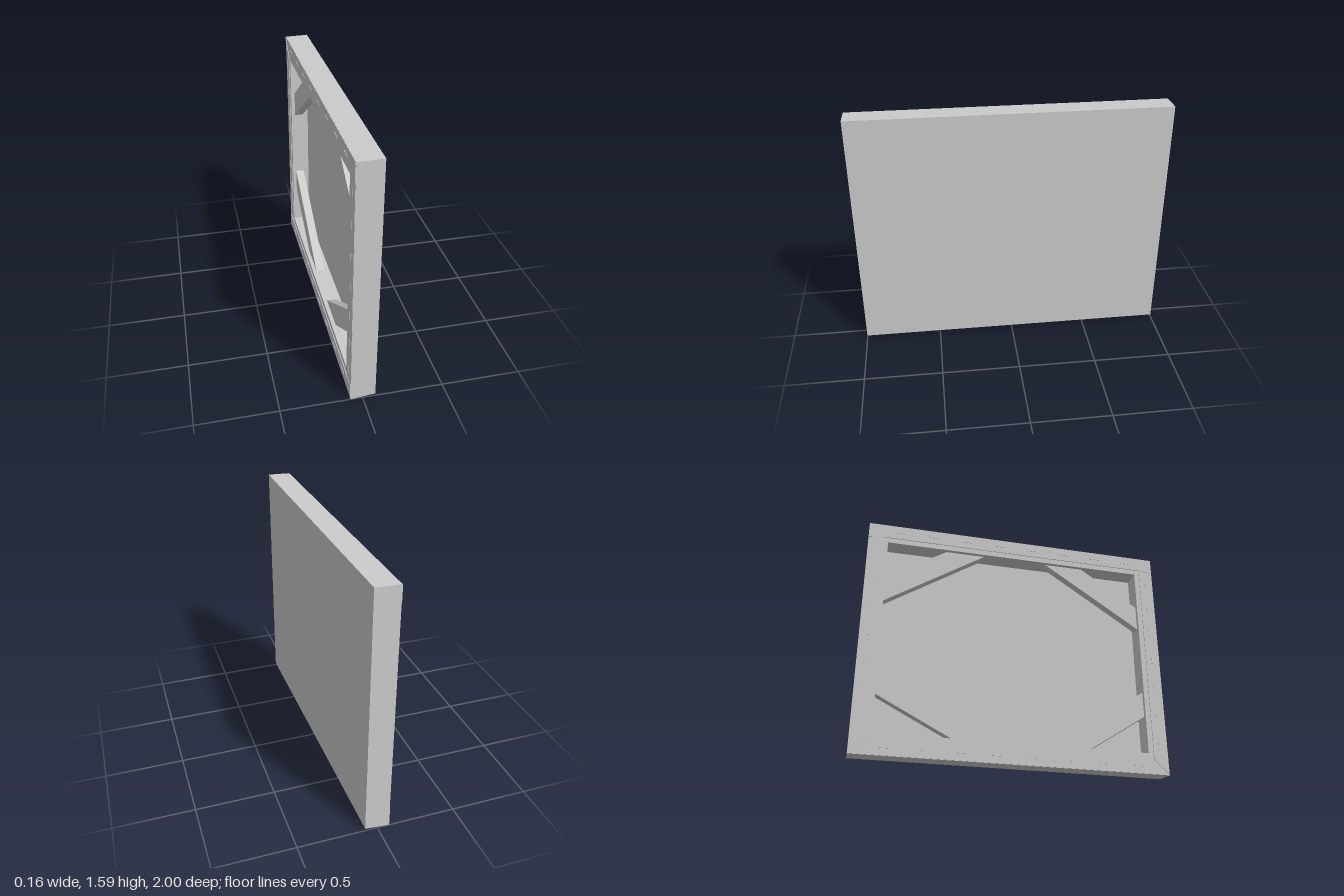
import * as THREE from 'three';

const mat = new THREE.MeshStandardMaterial({ color: 0xcccccc, side: THREE.DoubleSide, flatShading: true });

const TOP = 1.59, BOT = 0.012, HALF = 1, FRONT = 0.078;

function extrude(points, depth) {
  const shape = new THREE.Shape(points.map(([a, b]) => new THREE.Vector2(a, b)));
  return new THREE.ExtrudeGeometry(shape, { depth, bevelEnabled: false });
}

// Plate drawn in the (z, y) plane, filling x0..x1
function plate(name, points, x0, x1) {
  const geo = extrude(points, x1 - x0).rotateY(-Math.PI / 2).translate(x1, 0, 0);
  const mesh = new THREE.Mesh(geo, mat);
  mesh.name = name;
  return mesh;
}

// Section drawn in the (x, y) plane, filling z0..z1
function section(name, points, z0, z1) {
  const mesh = new THREE.Mesh(extrude(points, z1 - z0).translate(0, 0, z0), mat);
  mesh.name = name;
  return mesh;
}

// Four mitred strips running round a rectangle (half width h, y0..y1)
function mitredFrame(name, h, y0, y1, w, x0, x1) {
  const group = new THREE.Group();
  group.name = name;
  const outer = [[-h, y0], [h, y0], [h, y1], [-h, y1]];
  const inner = [[-h + w, y0 + w], [h - w, y0 + w], [h - w, y1 - w], [-h + w, y1 - w]];
  for (let i = 0; i < 4; i++) {
    const j = (i + 1) % 4;
    group.add(plate(name + 'Side', [outer[i], outer[j], inner[j], inner[i]], x0, x1));
  }
  return group;
}

export function createModel() {
  const model = new THREE.Group();
  model.name = 'stretchedCanvas';

  // Painted face and the cloth wrapped over the four edges
  model.add(plate('canvasFace', [[-HALF, 0.015], [HALF, 0.015], [HALF, TOP], [-HALF, TOP]], FRONT - 0.004, FRONT));
  model.add(section('canvasTop', [[-0.073, TOP - 0.01], [FRONT, TOP - 0.004], [FRONT, TOP], [-0.073, TOP - 0.004]], -HALF, HALF));
  model.add(section('canvasBottom', [[-0.073, 0], [FRONT, 0.015], [FRONT, 0.02], [-0.073, 0.006]], -HALF, HALF));
  const side = [[-0.073, 0.002], [FRONT, 0.016], [FRONT, TOP], [-0.073, TOP - 0.004]];
  model.add(section('canvasLeftEdge', side, HALF - 0.005, HALF));
  model.add(section('canvasRightEdge', side, -HALF, -HALF + 0.005));

  // Wooden stretcher bars and the cloth turned over their back
  model.add(mitredFrame('stretcherBar', HALF - 0.005, BOT, TOP - 0.01, 0.125, -0.07, 0.048));
  model.add(mitredFrame('canvasFlap', HALF - 0.001, 0.002, TOP - 0.005, 0.095, -0.075, -0.069));

  // Folded cloth at the corners
  for (const s of [-1, 1]) {
    for (const [y, d] of [[TOP - 0.006, -1], [0.004, 1]]) {
      model.add(plate('cornerFold', [[s * 0.997, y], [s * 0.9, y + d * 0.095], [s * 0.997, y + d * 0.11]], -0.078, -0.074));
    }
  }

  // Diagonal corner braces: corner, direction, extra length along z
  const iz = 0.87, ib = 0.13, it = TOP - 0.13;
  for (const [z, y, sz, sy, extra] of [
    [iz, ib, -1, 1, 0], [-iz, ib, 1, 1, 0.1], [iz, it, -1, -1, 0], [-iz, it, 1, -1, 0],
  ]) {
    model.add(plate('cornerBrace', [
      [z + sz * (0.66 + extra), y], [z, y + sy * 0.43],
      [z, y + sy * 0.26], [z + sz * (0.4 + extra), y],
    ], -0.045, 0.012));
  }

  // Staples along the flaps
  const staples = new THREE.Group();
  staples.name = 'staples';
  const addStaple = (y, z, h, w) => {
    const staple = new THREE.Mesh(new THREE.BoxGeometry(0.004, h, w), mat);
    staple.name = 'staple';
    staple.position.set(-0.076, y, z);
    staples.add(staple);
  };
  for (let i = 0; i < 8; i++) {
    const z = -0.8 + i * 1.6 / 7;
    for (const y of [0.05, TOP - 0.055]) addStaple(y, z, 0.008, 0.07);
  }
  for (let i = 0; i < 7; i++) {
    const y = 0.19 + i * 0.2;
    for (const z of [-0.945, 0.945]) addStaple(y, z, 0.05, 0.008);
  }
  model.add(staples);

  return model;
}
